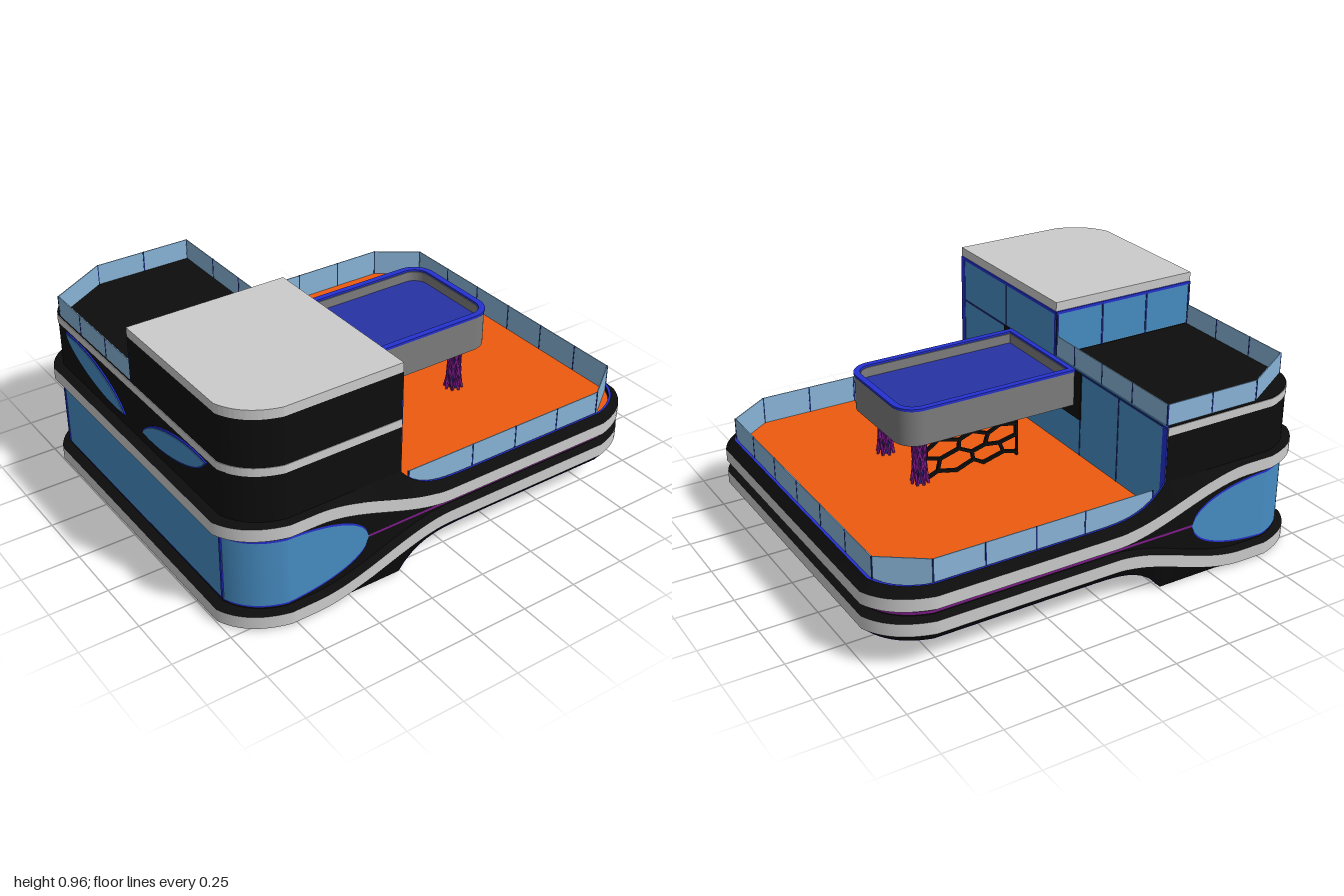
import * as THREE from 'three';

const mat = (color) => new THREE.MeshStandardMaterial({ color, side: THREE.DoubleSide });
const black = mat(0x0d0d0d), grey = mat(0xcccccc), darkGrey = mat(0x7c7c7c), blue = mat(0x2430d0);
const navy = mat(0x1c2a78), glass = mat(0x468cc2), paleGlass = mat(0x88b4d8), orange = mat(0xee5a10);
const purple = mat(0x7c1a88), pool = mat(0x2832a4);

const SPLIT = -0.26;   // x where the tower ends and the deck begins
const MID = 0.24;      // height of the horizontal symmetry line

// Plan outline of one half (dir -1 tower, +1 deck), inset from the widest line, front to back
function outline(inset, dir) {
  const hx = 1 - inset, hz = 0.825 - inset * 0.75, cx = 0.775, cz = 0.65 - inset * 0.3;
  const front = [];
  for (let i = 0; i <= 32; i++) front.push(new THREE.Vector2(THREE.MathUtils.lerp(SPLIT, dir * cx, i / 32), hz));
  // shallow corner arc, flatter than a full quarter round
  const control = new THREE.Vector2(dir * (cx + (hx - cx) * 0.77), cz + (hz - cz) * 0.77);
  const corner = new THREE.QuadraticBezierCurve(new THREE.Vector2(dir * cx, hz), control, new THREE.Vector2(dir * hx, cz));
  front.push(...corner.getPoints(12).slice(1));
  return [...front, ...front.slice().reverse().map((p) => new THREE.Vector2(p.x, -p.y))];
}

// Sheet between two inset lines whose heights depend on x
function sheet(dir, insetA, yA, insetB, yB, material, name) {
  const a = outline(insetA, dir), b = outline(insetB, dir), pos = [], index = [];
  a.forEach((p, i) => {
    pos.push(p.x, yA(p.x), p.y, b[i].x, yB(b[i].x), b[i].y);
    const k = 2 * i;
    if (i) index.push(k - 2, k - 1, k, k, k - 1, k + 1);
  });
  const g = new THREE.BufferGeometry();
  g.setAttribute('position', new THREE.Float32BufferAttribute(pos, 3));
  g.setIndex(index);
  g.computeVertexNormals();
  return named(new THREE.Mesh(g, material), name);
}

function named(o, name) { o.name = name; return o; }

// Horizontal slab from plan points (x, z), with an optional hole
function slab(points, y0, y1, material, name, hole) {
  const flip = (list) => list.map((p) => new THREE.Vector2(p.x, -p.y));
  const shape = new THREE.Shape(flip(points));
  if (hole) shape.holes.push(new THREE.Path(flip(hole)));
  const g = new THREE.ExtrudeGeometry(shape, { depth: y1 - y0, bevelEnabled: false });
  g.rotateX(-Math.PI / 2).translate(0, y0, 0);
  return named(new THREE.Mesh(g, material), name);
}

function box(x0, x1, y0, y1, z0, z1, material, name) {
  const m = new THREE.Mesh(new THREE.BoxGeometry(x1 - x0, y1 - y0, z1 - z0), material);
  m.position.set((x0 + x1) / 2, (y0 + y1) / 2, (z0 + z1) / 2);
  return named(m, name);
}

function strut(a, b, width, material, name) {
  const m = new THREE.Mesh(new THREE.BoxGeometry(width, width, a.distanceTo(b) + width * 0.6), material);
  m.position.copy(a).add(b).multiplyScalar(0.5);
  m.lookAt(b);
  return named(m, name);
}

// Glass panels with thin posts along plan points [x, z]
function railing(points, y0, y1, name) {
  const g = named(new THREE.Group(), name);
  points.forEach(([x, z], i) => {
    g.add(box(x - 0.003, x + 0.003, y0, y1, z - 0.003, z + 0.003, navy, 'railingPost'));
    if (!i) return;
    const [px, pz] = points[i - 1];
    const panel = new THREE.Mesh(new THREE.BoxGeometry(Math.hypot(x - px, z - pz), y1 - y0, 0.004), paleGlass);
    panel.position.set((x + px) / 2, (y0 + y1) / 2, (z + pz) / 2);
    panel.rotation.y = -Math.atan2(z - pz, x - px);
    g.add(named(panel, 'railingPanel'));
  });
  return g;
}

// Wavy outer shell with two bands, mirrored about the middle line
function buildShell() {
  const g = named(new THREE.Group(), 'shell');
  const band = (x) => 0.293 + 0.15 * (1 - THREE.MathUtils.smoothstep(x, -0.66, -0.02));
  const rim = (x) => x <= SPLIT ? 0.48 : 0.358 + 0.122 * Math.pow(Math.max(0, (0.15 - x) / 0.41), 4.4);
  const pane = (x) => 0.145 * Math.sqrt(Math.max(0, 1 - Math.pow(Math.max(0, x + 0.8) / 0.39, 2)));
  for (const dir of [-1, 1]) {
    for (const s of [1, -1]) {
      const y = (f) => (x) => s > 0 ? f(x) : 2 * MID - f(x);
      const top = y((x) => band(x) + 0.028), low = y((x) => band(x) - 0.027);
      const inner = y((x) => band(x) - 0.042);
      g.add(sheet(dir, 0.04, y(rim), 0, top, black, 'shellSlope'));
      g.add(sheet(dir, 0, top, 0, low, grey, 'shellBand'));
      g.add(sheet(dir, 0, low, 0.04, inner, black, 'shellLip'));
      g.add(sheet(dir, 0.04, inner, 0.04, () => MID, black, 'shellRecess'));
      if (dir > 0) {
        g.add(sheet(dir, 0.038, y(rim), 0.05, y(rim), blue, 'rimTrim'));
        g.add(sheet(dir, 0.05, y(rim), 0.05, y(() => 0.3), black, 'shellInside'));
      }
    }
    g.add(sheet(dir, 0.038, () => MID + 0.005, 0.038, () => MID - 0.005, purple, 'grooveLine'));
  }
  const frame = (x) => x > -0.405 ? 0 : pane(x) + 0.008;
  g.add(sheet(-1, 0.037, (x) => MID + frame(x), 0.037, (x) => MID - frame(x), blue, 'wrapWindowFrame'));
  g.add(sheet(-1, 0.035, (x) => MID + pane(x), 0.035, (x) => MID - pane(x), glass, 'wrapWindow'));
  for (const z of [-0.64, 0.64]) g.add(box(-0.968, -0.958, 0.1, 0.385, z - 0.006, z + 0.006, blue, 'windowPost'));
  return g;
}

function buildTower() {
  const g = named(new THREE.Group(), 'tower');
  const V = (x, z) => new THREE.Vector2(x, z);
  const frontHalf = (inset) => [...outline(inset, -1).filter((p) => p.y > 0), V(inset - 1, 0), V(SPLIT, 0)];
  g.add(slab(outline(0.039, -1), 0, 0.006, black, 'towerUnderside'));
  g.add(slab(outline(0.047, -1), 0.003, 0.47, black, 'towerBase'));
  g.add(slab(outline(0.04, -1), 0.46, 0.72, black, 'towerCore'));
  g.add(slab(outline(0.037, -1), 0.682, 0.717, grey, 'towerBand'));
  g.add(slab(frontHalf(0.04), 0.72, 0.92, black, 'upperRoom'));
  g.add(slab(frontHalf(0.038), 0.92, 0.96, grey, 'roofCap'));

  // Glazed wall facing the deck
  const xa = SPLIT - 0.004, xb = SPLIT + 0.002, xc = SPLIT + 0.004;
  g.add(box(xa, xb, 0.32, 0.72, -0.787, 0.787, glass, 'deckGlazing'));
  g.add(box(xa, xb, 0.72, 0.915, 0.005, 0.787, glass, 'upperGlazing'));
  g.add(box(xa, xb, 0.002, 0.17, -0.785, 0.785, glass, 'lowerGlazing'));
  g.add(box(xa, xc, 0.32, 0.92, 0.764, 0.794, blue, 'glazingFrame'));
  g.add(box(xa, xc, 0.32, 0.72, -0.794, -0.764, blue, 'glazingFrame'));
  g.add(box(xa, xc, 0.907, 0.92, 0, 0.794, blue, 'glazingFrame'));
  g.add(box(xa, xc, 0.708, 0.716, -0.79, 0.79, navy, 'glazingRail'));
  g.add(box(xa, xc, 0.72, 0.92, 0, 0.008, blue, 'glazingFrame'));
  g.add(box(xa, xc, 0.72, 0.91, 0.397, 0.403, navy, 'mullion'));
  for (const z of [-0.47, -0.2, 0.41]) g.add(box(xa, xc, 0.32, 0.71, z - 0.003, z + 0.003, navy, 'mullion'));
  for (const z of [0.77, 0.62, 0.465, 0.155, -0.15, -0.31, -0.46, -0.77])
    g.add(box(xa, xc, 0.002, 0.17, z - 0.003, z + 0.003, navy, 'lowerMullion'));
  g.add(box(xa, xc + 0.003, 0.5, 0.715, -0.205, 0.41, black, 'balconySurround'));

  // Glazing of the upper room towards the roof terrace
  g.add(box(-0.955, -0.265, 0.725, 0.91, -0.004, 0.004, glass, 'terraceGlazing'));
  for (const x of [-0.955, -0.725, -0.495, -0.266]) g.add(box(x - 0.004, x + 0.004, 0.72, 0.92, -0.007, 0, navy, 'mullion'));
  g.add(box(-0.958, SPLIT, 0.908, 0.92, -0.007, 0, blue, 'glazingFrame'));

  // Slanted almond windows on the end wall
  for (const side of [1, -1]) for (const [grow, depth, m, name] of [[0.01, 0.006, blue, 'almondFrame'], [0, 0.009, glass, 'almondWindow']]) {
    const s = new THREE.Shape();
    s.moveTo(0.08 - grow, 0.535 - grow * 0.4);
    s.bezierCurveTo(0.12, 0.61 + grow, 0.38, 0.69 + grow, 0.56 + grow, 0.665 + grow * 0.4);
    s.bezierCurveTo(0.52, 0.59 - grow, 0.26, 0.51 - grow, 0.08 - grow, 0.535 - grow * 0.4);
    const geo = new THREE.ExtrudeGeometry(s, { depth, bevelEnabled: false }).rotateY(-Math.PI / 2);
    const w = named(new THREE.Mesh(geo, m), name);
    w.position.x = -0.96;
    w.scale.z = side;
    g.add(w);
  }
  g.add(railing([[-0.265, -0.005], [-0.265, -0.14], [-0.265, -0.34], [-0.265, -0.55], [-0.265, -0.78], [-0.48, -0.78],
    [-0.7, -0.78], [-0.955, -0.625], [-0.955, -0.43], [-0.955, -0.21], [-0.955, -0.005]], 0.72, 0.81, 'terraceRailing'));
  return g;
}

function buildDeck() {
  const g = named(new THREE.Group(), 'deck');
  g.add(slab(outline(0.048, 1), 0.165, 0.333, orange, 'deckSlab'));
  const xs = [-0.21, 0.105, 0.325, 0.545, 0.765], zs = [0.65, 0.45, 0.23, 0.01, -0.21, -0.43, -0.65];
  g.add(railing([...xs.map((x) => [x, 0.78]), ...zs.map((z) => [0.946, z]),
    ...xs.slice().reverse().map((x) => [x, -0.78])], 0.333, 0.453, 'deckRailing'));
  return g;
}

function buildBalcony() {
  const g = named(new THREE.Group(), 'balcony');
  // Plan rounded only at the outer end
  const plan = (t) => {
    const s = new THREE.Shape(), x1 = 0.55 - t, z0 = -0.156 + t, z1 = 0.352 - t, r = 0.095 - t;
    s.moveTo(SPLIT + t, z0);
    s.lineTo(x1 - r, z0);
    s.absarc(x1 - r, z0 + r, r, -Math.PI / 2, 0);
    s.absarc(x1 - r, z1 - r, r, 0, Math.PI / 2);
    s.lineTo(SPLIT + t, z1);
    return s.getPoints(10);
  };
  g.add(slab(plan(0), 0.553, 0.708, darkGrey, 'balconyWall', plan(0.028)));
  g.add(slab(plan(0.02), 0.557, 0.665, pool, 'balconyFloor'));
  g.add(slab(plan(0.001), 0.554, 0.6, darkGrey, 'balconyUnderside'));
  g.add(slab(plan(-0.003), 0.706, 0.717, blue, 'balconyRim', plan(0.024)));

  // Woven legs around a slim core
  for (const z of [0.255, -0.055]) {
    const leg = named(new THREE.Group(), 'wovenLeg');
    const radii = [0.036, 0.027, 0.027, 0.036], at = (k, a) =>
      new THREE.Vector3(0.432 + radii[k] * Math.cos(a), 0.333 + k * 0.075, z + radii[k] * Math.sin(a));
    for (let i = 0; i < 8; i++) for (const twist of [-0.6, 0.6]) for (let k = 0; k < 3; k++) {
      const a = i * Math.PI / 4 + k * twist;
      leg.add(strut(at(k, a), at(k + 1, a + twist), 0.009, purple, 'legStrand'));
    }
    const core = named(new THREE.Mesh(new THREE.CylinderGeometry(0.02, 0.02, 0.22, 10), navy), 'legCore');
    core.position.set(0.432, 0.443, z);
    leg.add(core);
    g.add(leg);
  }

  // Irregular cell screen under the balcony
  const screen = named(new THREE.Group(), 'cellScreen');
  const noise = (n) => { const v = Math.sin(n * 127.1) * 43758.5; return v - Math.floor(v) - 0.5; };
  const node = (i, r) => new THREE.Vector3(-0.03 + i * 0.072 + (i % 6 ? noise(i * 7 + r * 3 + 1) * 0.04 : 0),
    0.355 + r * 0.065 + ((i + r) % 2 ? 0.012 : -0.012) + noise(i * 5 + r * 11 + 2) * 0.02, -0.055);
  for (let r = 0; r < 4; r++) for (let i = 0; i < 7; i++) {
    if (i < 6) screen.add(strut(node(i, r), node(i + 1, r), 0.013, black, 'cellEdge'));
    if (r < 3 && (i + r) % 2) screen.add(strut(node(i, r), node(i, r + 1), 0.013, black, 'cellEdge'));
  }
  for (const x of [-0.033, 0.405]) screen.add(box(x - 0.004, x + 0.004, 0.333, 0.555, -0.061, -0.049, black, 'screenEdge'));
  g.add(screen);
  return g;
}

export function createModel() {
  const model = named(new THREE.Group(), 'building');
  model.add(buildShell(), buildTower(), buildDeck(), buildBalcony());
  return model;
}
